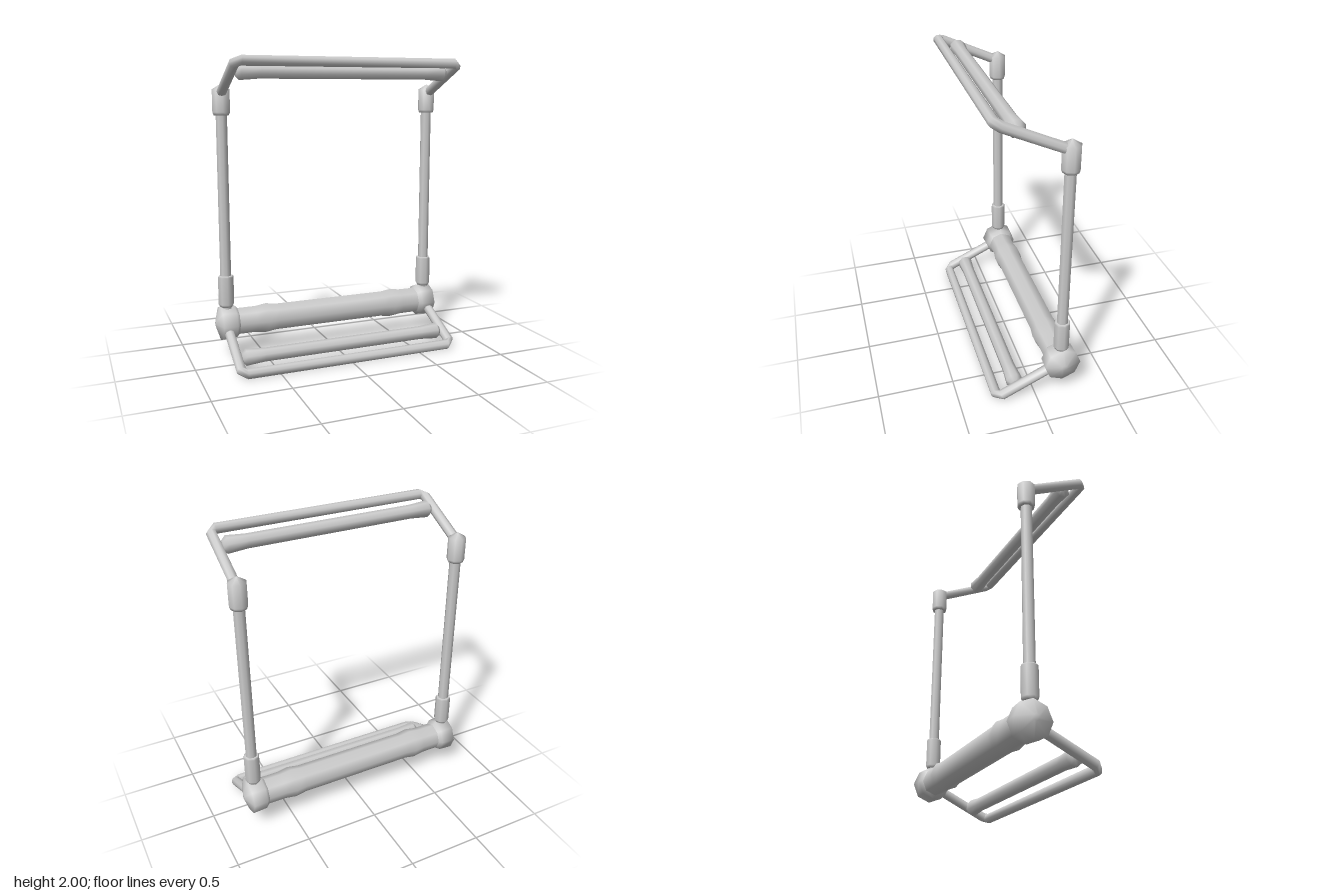
import * as THREE from 'three';

const material = new THREE.MeshStandardMaterial({ color: 0xcccccc });
const SIDES = 8;
const POST_X = 0.747, POST_Z = -0.17, ROLLER_Y = 0.24;

function named(name, geometry, parent) {
  const mesh = new THREE.Mesh(geometry, material);
  mesh.name = name;
  parent.add(mesh);
  return mesh;
}

// Turned part from [radius, height] pairs, listed bottom to top
function turned(profile) {
  return new THREE.LatheGeometry(profile.map(([r, y]) => new THREE.Vector2(r, y)), SIDES);
}

// Profile mirrored about height 0, from [radius, height] pairs of the upper half
function mirrored(half) {
  return turned([...half.map(([r, y]) => [r, -y]).reverse(), ...half]);
}

// U-shaped tube in the xz plane with chamfered outer corners
function frameGeometry(x, depth, r) {
  // each ring: centre x, centre z, inward direction x, z
  const rings = [
    [-x, -depth, 1, 0], [-x, -r, 1, 0], [-x + r, 0, 0, -1],
    [x - r, 0, 0, -1], [x, -r, -1, 0], [x, -depth, -1, 0],
  ];
  const position = [], index = [];
  rings.forEach(([cx, cz, ax, az], i) => {
    for (let j = 0; j < SIDES; j++) {
      const t = (j / SIDES) * Math.PI * 2, c = r * Math.cos(t);
      position.push(cx + ax * c, r * Math.sin(t), cz + az * c);
      if (i === rings.length - 1) continue;
      const a = i * SIDES + j, b = i * SIDES + (j + 1) % SIDES;
      index.push(a, b, b + SIDES, a, b + SIDES, a + SIDES);
    }
  });
  const geometry = new THREE.BufferGeometry();
  geometry.setAttribute('position', new THREE.Float32BufferAttribute(position, 3));
  geometry.setIndex(index);
  geometry.computeVertexNormals();
  return geometry;
}

// Sloping handle: outer U frame and an inner bar with flared ends
function handle(name) {
  const group = new THREE.Group();
  group.name = name;
  const tilt = new THREE.Group();
  tilt.position.set(0, 1.967, 0.257);
  tilt.rotation.x = -0.437;
  group.add(tilt);
  named('handleFrame', frameGeometry(0.75, 0.455, 0.033), tilt);
  const bar = named('handleInnerBar',
    mirrored([[0.045, 0.57], [0.055, 0.695], [0.03, 0.72], [0, 0.72]]), tilt);
  bar.rotation.z = Math.PI / 2;
  bar.position.z = -0.143;
  return group;
}

export function createModel() {
  const model = new THREE.Group();

  // Horizontal roller with a bulge near each end
  const roller = named('roller',
    mirrored([[0.093, 0.4], [0.104, 0.475], [0.093, 0.55], [0.093, 0.7]]), model);
  roller.rotation.z = Math.PI / 2;
  roller.position.set(0, ROLLER_Y, POST_Z - 0.003);

  for (const side of [-1, 1]) {
    const label = side > 0 ? 'left' : 'right';

    // Rounded end knob of the roller
    const knob = named(label + 'Knob',
      turned([[0.09, 0.67], [0.115, 0.695], [0.12, 0.79], [0.02, 0.823], [0, 0.823]]), model);
    knob.rotation.z = -side * Math.PI / 2;
    knob.position.set(0, ROLLER_Y, POST_Z - 0.003);

    // Upright post with its lower sleeve and pointed upper cap
    const upright = new THREE.Group();
    upright.name = label + 'Upright';
    upright.position.set(side * POST_X, 0, POST_Z);
    model.add(upright);
    named('post', turned([[0.037, 0.3], [0.037, 1.7]]), upright);
    named('sleeve', turned([[0, 0.355], [0.042, 0.355], [0.053, 0.375],
      [0.053, 0.56], [0.046, 0.57], [0, 0.57]]), upright);
    named('cap', turned([[0, 1.635], [0.05, 1.635], [0.058, 1.655],
      [0.058, 1.8], [0, 1.835]]), upright);
  }

  // Upper handle and its upside-down twin below
  model.add(handle('upperHandle'));
  const lower = handle('lowerHandle');
  lower.rotation.z = Math.PI;
  lower.position.y = 2;
  model.add(lower);

  return model;
}
